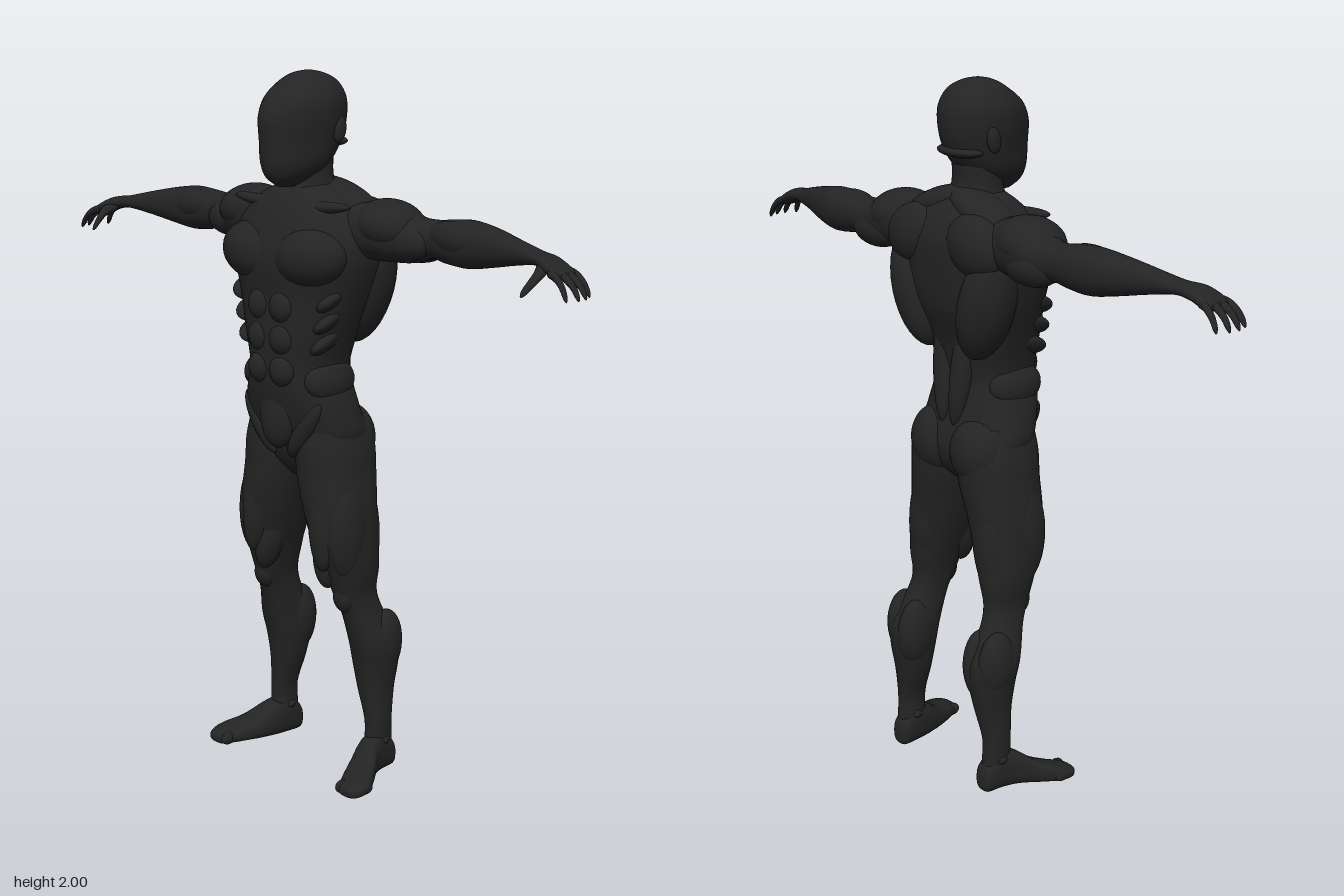
import * as THREE from 'three';

const skin = new THREE.MeshStandardMaterial({ color: 0x242424 });
skin.name = 'charcoal';

// Smooth loft along an axis; rows are [t, uMin, uMax, vMin, vMax].
// axis y: u = x, v = z; axis x: u = y, v = z; axis z: u = x, v = y
function loft(axis, rows, power = 2.2, sides = 32, steps = 5) {
  const clampRow = i => rows[Math.max(0, Math.min(rows.length - 1, i))];
  const cr = (a, b, c, d, t) =>
    0.5 * (2 * b + (c - a) * t + (2 * a - 5 * b + 4 * c - d) * t * t + (3 * b - a - 3 * c + d) * t * t * t);
  const rings = [];
  for (let i = 0; i < rows.length - 1; i++) {
    for (let s = 0; s < steps; s++) {
      const [a, b, c, d] = [clampRow(i - 1), rows[i], rows[i + 1], clampRow(i + 2)];
      rings.push(b.map((_, k) => cr(a[k], b[k], c[k], d[k], s / steps)));
    }
  }
  rings.push(rows[rows.length - 1]);

  const pos = [], idx = [];
  const put = (t, u, v) => pos.push(...(axis === 'y' ? [u, t, v] : axis === 'x' ? [t, u, v] : [u, v, t]));
  const bend = c => Math.sign(c) * Math.pow(Math.abs(c), 2 / power);
  const tri = (a, b, c) => (axis === 'y' ? idx.push(a, c, b) : idx.push(a, b, c));
  for (const [t, u0, u1, v0, v1] of rings) {
    for (let j = 0; j < sides; j++) {
      const a = (j / sides) * Math.PI * 2;
      put(t, (u0 + u1) / 2 + bend(Math.cos(a)) * (u1 - u0) / 2, (v0 + v1) / 2 + bend(Math.sin(a)) * (v1 - v0) / 2);
    }
  }
  for (let i = 0; i < rings.length - 1; i++) {
    for (let j = 0; j < sides; j++) {
      const k = (j + 1) % sides, p = i * sides, q = p + sides;
      tri(p + j, p + k, q + j);
      tri(p + k, q + k, q + j);
    }
  }
  // End caps
  const last = (rings.length - 1) * sides, n = rings.length * sides;
  for (const r of [rings[0], rings[rings.length - 1]]) put(r[0], (r[1] + r[2]) / 2, (r[3] + r[4]) / 2);
  for (let j = 0; j < sides; j++) {
    const k = (j + 1) % sides;
    tri(n, k, j);
    tri(n + 1, last + j, last + k);
  }
  const g = new THREE.BufferGeometry();
  g.setAttribute('position', new THREE.Float32BufferAttribute(pos, 3));
  g.setIndex(idx);
  g.computeVertexNormals();
  return g;
}

// Ellipsoid muscle: centre, radii, lean about z and x
function muscle([x, y, z], [rx, ry, rz], leanZ = 0, leanX = 0) {
  return new THREE.SphereGeometry(1, 24, 16).scale(rx, ry, rz).rotateX(leanX).rotateZ(leanZ).translate(x, y, z);
}

function mirrored(geometry) {
  const g = geometry.clone().scale(-1, 1, 1);
  const a = g.index.array;
  for (let i = 0; i < a.length; i += 3) [a[i], a[i + 1]] = [a[i + 1], a[i]];
  g.computeVertexNormals();
  return g;
}

export function createModel() {
  const model = new THREE.Group();
  model.name = 'muscularFigure';
  const add = (name, geometry) => {
    const mesh = new THREE.Mesh(geometry, skin);
    mesh.name = name;
    model.add(mesh);
  };
  const pair = (name, geometry) => {
    add(name + 'Left', geometry);
    add(name + 'Right', mirrored(geometry));
  };
  const sym = rows => rows.map(([y, w, b, f]) => [y, -w, w, b, f]);

  // Torso and neck: y, half width, back, front
  add('torso', loft('y', sym([
    [0.88, 0.03, -0.06, 0.05], [0.93, 0.11, -0.11, 0.09], [1.0, 0.18, -0.125, 0.115], [1.08, 0.175, -0.105, 0.14],
    [1.14, 0.158, -0.095, 0.152], [1.2, 0.138, -0.095, 0.157], [1.3, 0.163, -0.115, 0.16], [1.4, 0.2, -0.15, 0.155],
    [1.5, 0.228, -0.16, 0.16], [1.58, 0.225, -0.16, 0.137], [1.64, 0.18, -0.135, 0.11],
    [1.675, 0.13, -0.11, 0.085], [1.7, 0.07, -0.08, 0.06],
  ]), 2.3, 48));
  add('neck', loft('y', sym([
    [1.62, 0.11, -0.12, 0.09], [1.67, 0.085, -0.1, 0.08], [1.72, 0.07, -0.066, 0.066], [1.82, 0.07, -0.07, 0.06],
  ])));

  // Head, narrowing towards the smooth masked face
  const head = loft('y', sym([
    [1.695, 0.025, 0.06, 0.11], [1.72, 0.06, 0, 0.145], [1.76, 0.086, -0.055, 0.16], [1.82, 0.096, -0.097, 0.164],
    [1.88, 0.105, -0.11, 0.164], [1.93, 0.101, -0.106, 0.138], [1.97, 0.077, -0.082, 0.085],
    [1.992, 0.042, -0.045, 0.045], [2.0, 0.008, -0.01, 0.01],
  ]), 2.2, 40);
  const hp = head.attributes.position;
  for (let i = 0; i < hp.count; i++) hp.setX(i, hp.getX(i) * (1 - 1.9 * Math.max(0, hp.getZ(i) - 0.02)));
  head.computeVertexNormals();
  add('head', head);
  pair('ear', muscle([0.096, 1.845, -0.025], [0.012, 0.036, 0.022], 0, -0.2));
  add('napeRidge', muscle([0, 1.81, -0.06], [0.082, 0.018, 0.046]));

  // Chest, belly and back muscles
  pair('pectoral', muscle([0.1, 1.51, 0.09], [0.118, 0.085, 0.084], 0.12, 0.1));
  pair('collarbone', muscle([0.12, 1.645, 0.065], [0.1, 0.016, 0.02], 0.08));
  pair('trapezius', muscle([0.09, 1.655, -0.05], [0.13, 0.045, 0.07], -0.35));
  pair('shoulderBlade', muscle([0.125, 1.575, -0.11], [0.105, 0.085, 0.062], -0.3));
  pair('latissimus', muscle([0.14, 1.42, -0.085], [0.075, 0.17, 0.085], -0.3));
  pair('spinalMuscle', muscle([0.04, 1.25, -0.08], [0.036, 0.2, 0.035], -0.08, 0.12));
  for (let i = 0; i < 3; i++) {
    pair('abdominal' + (i + 1), muscle([0.041, 1.375 - i * 0.088, 0.138], [0.042, 0.046, 0.034]));
    pair('rib' + (i + 1), muscle([0.155 - i * 0.012, 1.4 - i * 0.06, 0.065], [0.042, 0.022, 0.06], 0.6, 0.35));
  }
  add('lowerBelly', muscle([0, 1.09, 0.105], [0.07, 0.12, 0.046], 0, -0.15));
  pair('oblique', muscle([0.118, 1.17, 0.035], [0.042, 0.062, 0.09], 0.25));
  pair('groinFold', muscle([0.085, 1.03, 0.098], [0.03, 0.1, 0.028], -0.6));
  pair('glute', muscle([0.085, 0.985, -0.07], [0.088, 0.1, 0.074]));

  // Arms with the palm: x, bottom, top, back, front
  pair('arm', loft('x', [
    [0.15, 1.51, 1.65, -0.12, 0.05], [0.23, 1.505, 1.665, -0.135, 0.045], [0.29, 1.505, 1.66, -0.135, 0.035],
    [0.35, 1.508, 1.632, -0.13, 0.01], [0.41, 1.525, 1.627, -0.125, -0.012], [0.46, 1.517, 1.633, -0.125, -0.01],
    [0.53, 1.512, 1.638, -0.123, -0.01], [0.61, 1.525, 1.628, -0.105, -0.008], [0.7, 1.543, 1.61, -0.075, -0.002],
    [0.78, 1.555, 1.592, -0.056, 0.01], [0.83, 1.546, 1.585, -0.05, 0.033], [0.872, 1.53, 1.565, -0.046, 0.043],
    [0.888, 1.535, 1.552, -0.035, 0.03],
  ]));
  pair('deltoid', muscle([0.265, 1.603, -0.045], [0.1, 0.068, 0.095], -0.15));
  pair('biceps', muscle([0.335, 1.565, -0.025], [0.085, 0.05, 0.045]));
  pair('triceps', muscle([0.32, 1.552, -0.095], [0.1, 0.05, 0.042]));
  pair('forearmMuscle', muscle([0.5, 1.588, -0.045], [0.1, 0.046, 0.042], -0.05));

  // Curled fingers: base z, tip z, reach
  [[-0.036, -0.046, 0.922], [-0.012, -0.014, 0.936], [0.012, 0.018, 0.938], [0.034, 0.052, 0.926]].forEach(([z0, z1, x1], i) => {
    const at = (f, y, r) => {
      const z = z0 + (z1 - z0) * f;
      return [0.86 + (x1 - 0.86) * f, y - r, y + r, z - r, z + r];
    };
    pair('finger' + (i + 1), loft('x', [
      at(0, 1.55, 0.011), at(0.35, 1.543, 0.011), at(0.7, 1.525, 0.0105), at(0.92, 1.503, 0.009), at(1, 1.492, 0.004),
    ], 2, 12, 3));
  });
  pair('thumb', loft('z', [
    [0.01, 0.8, 0.845, 1.545, 1.575], [0.04, 0.816, 0.846, 1.53, 1.56], [0.065, 0.817, 0.838, 1.512, 1.537],
    [0.085, 0.814, 0.831, 1.497, 1.515], [0.094, 0.817, 0.825, 1.493, 1.501],
  ], 2, 14, 3));

  // Legs: y, inner x, outer x, back, front
  pair('leg', loft('y', [
    [0.03, 0.162, 0.224, -0.14, -0.05], [0.09, 0.162, 0.224, -0.14, -0.05], [0.16, 0.16, 0.226, -0.138, -0.05],
    [0.25, 0.132, 0.228, -0.152, -0.042], [0.33, 0.116, 0.238, -0.166, -0.03], [0.4, 0.114, 0.242, -0.165, -0.012],
    [0.49, 0.118, 0.215, -0.118, 0.014], [0.55, 0.112, 0.205, -0.102, 0.042], [0.62, 0.094, 0.214, -0.11, 0.065],
    [0.7, 0.068, 0.216, -0.113, 0.095], [0.8, 0.036, 0.212, -0.118, 0.11], [0.9, 0.008, 0.2, -0.13, 0.112],
    [0.98, 0.01, 0.19, -0.13, 0.112], [1.06, 0.03, 0.165, -0.1, 0.1],
  ]));
  pair('outerThigh', muscle([0.176, 0.75, 0.02], [0.043, 0.15, 0.072], 0.02));
  pair('innerThigh', muscle([0.115, 0.67, 0.035], [0.036, 0.1, 0.05], 0.15, -0.15));
  pair('frontThigh', muscle([0.13, 0.8, 0.068], [0.045, 0.17, 0.044], 0.06, -0.08));
  pair('hamstring', muscle([0.14, 0.74, -0.078], [0.055, 0.16, 0.04], 0.1));
  pair('kneecap', muscle([0.16, 0.54, 0.02], [0.03, 0.042, 0.026], 0, 0.3));
  pair('innerCalf', muscle([0.148, 0.375, -0.112], [0.042, 0.105, 0.06], 0.05));
  pair('outerCalf', muscle([0.205, 0.39, -0.105], [0.042, 0.1, 0.06], -0.03));
  pair('ankle', muscle([0.193, 0.095, -0.095], [0.038, 0.022, 0.026]));

  // Feet turned outward: z, inner x, outer x, bottom, top
  pair('foot', loft('z', [
    [-0.15, 0.175, 0.208, 0.015, 0.05], [-0.137, 0.16, 0.222, 0, 0.085], [-0.09, 0.158, 0.23, 0, 0.115],
    [-0.04, 0.165, 0.245, 0, 0.105], [0.01, 0.18, 0.278, 0, 0.07], [0.06, 0.202, 0.308, 0, 0.05],
    [0.095, 0.222, 0.31, 0, 0.04], [0.116, 0.235, 0.3, 0.002, 0.032], [0.124, 0.25, 0.285, 0.008, 0.024],
  ], 2.7));
  const toeX = [0.237, 0.257, 0.274, 0.288, 0.299];
  toeX.forEach((x, i) => pair('toe' + (i + 1),
    muscle([x, 0.02, 0.1 - i * 0.008], [i ? 0.01 : 0.015, i ? 0.015 : 0.019, 0.025])));

  return model;
}
